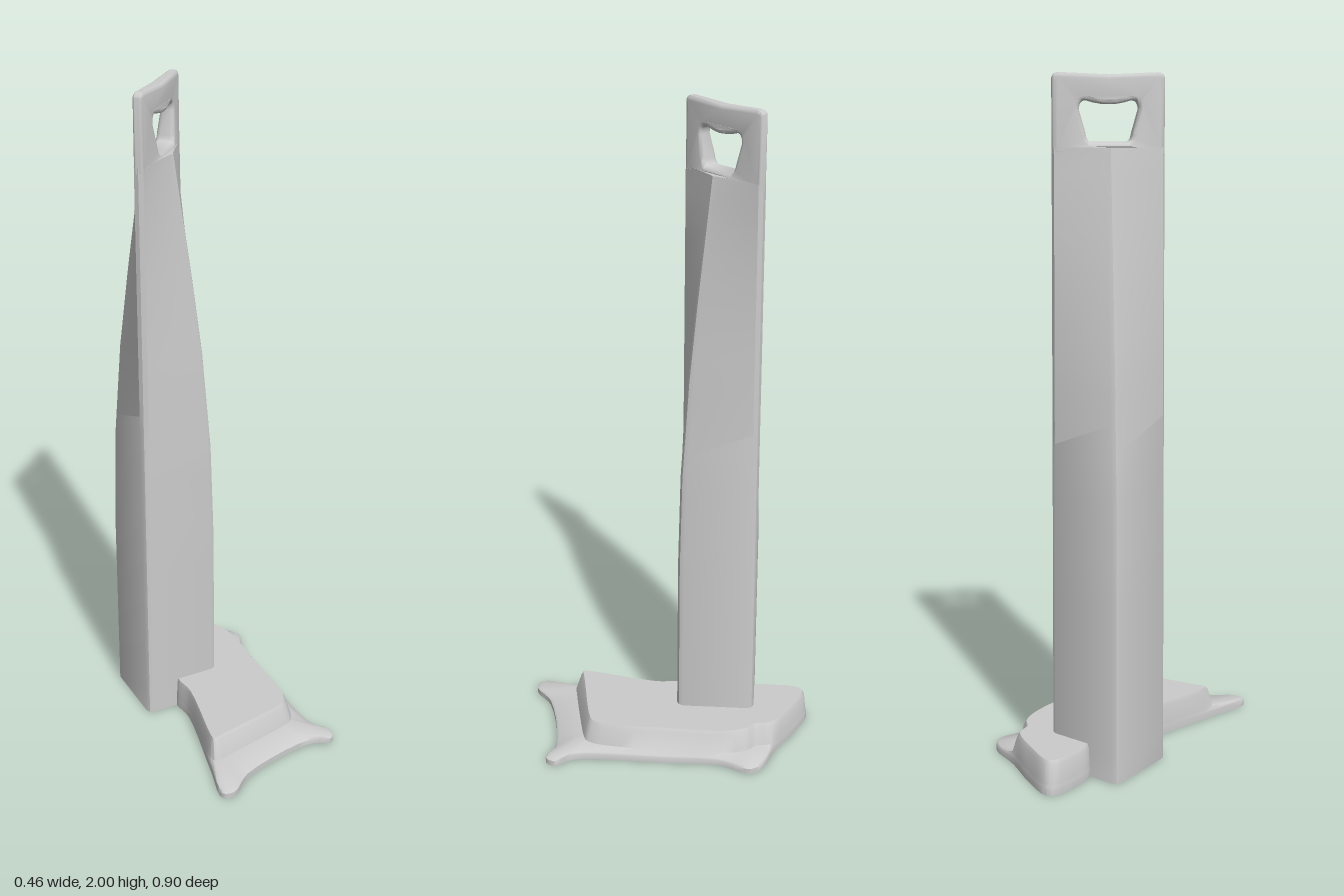
import * as THREE from 'three';
import { toCreasedNormals } from 'three/addons/utils/BufferGeometryUtils.js';

const material = new THREE.MeshStandardMaterial({ color: 0xcccccc, side: THREE.DoubleSide });

// Skin closed rings of Vector3 from bottom to top, capping the last one
function loft(rings, crease) {
  const n = rings[0].length, index = [];
  for (let r = 0; r < rings.length - 1; r++) {
    for (let i = 0; i < n; i++) {
      const j = (i + 1) % n, a = r * n + i, b = r * n + j;
      index.push(a, a + n, b, b, a + n, b + n);
    }
  }
  const top = rings[rings.length - 1].map(p => new THREE.Vector2(p.x, -p.z));
  const base = (rings.length - 1) * n;
  for (const [a, b, c] of THREE.ShapeUtils.triangulateShape(top, [])) {
    const up = THREE.ShapeUtils.area([top[a], top[b], top[c]]) > 0;
    index.push(base + a, base + (up ? b : c), base + (up ? c : b));
  }
  const g = new THREE.BufferGeometry().setFromPoints(rings.flat());
  g.setIndex(index);
  return toCreasedNormals(g, crease);
}

function add(parent, name, geometry) {
  const mesh = new THREE.Mesh(geometry, material);
  mesh.name = name;
  parent.add(mesh);
}

// Half thickness of the column across its ridge, by height
const taper = [[0, 0.16], [0.6, 0.158], [0.9, 0.149], [1.2, 0.124], [1.45, 0.092], [1.65, 0.063], [1.8, 0.042], [2, 0.018]];
function halfThickness(y) {
  let i = 1;
  while (i < taper.length - 1 && y > taper[i][0]) i++;
  const [y0, b0] = taper[i - 1], [y1, b1] = taper[i];
  return THREE.MathUtils.lerp(b0, b1, (y - y0) / (y1 - y0));
}
const halfWidth = y => 0.16 - 0.005 * y;
const EDGE = 0.014;

// Column: square at the foot, narrowing to a blade along its diagonal
function columnGeometry() {
  const rings = [];
  for (let k = 0; k <= 24; k++) {
    const y = 1.8 * k / 24, a = halfWidth(y), b = halfThickness(y), c = EDGE, f = 0.014;
    rings.push([[a, -c], [a + 0.005, 0], [a, c], [f, b], [0, b + 0.005], [-f, b], [-a, c], [-a - 0.005, 0],
      [-a, -c], [-f, -b], [0, -b - 0.005], [f, -b]].map(([x, z]) => new THREE.Vector3(x, y, z)));
  }
  return loft(rings, 0.5);
}

// Handle: bevelled loop whose thickness follows the column's taper
function handleGeometry() {
  const a = 0.155, shape = new THREE.Shape();
  shape.moveTo(-a, 1.78);
  shape.lineTo(0, 1.78);
  shape.lineTo(a, 1.78);
  shape.lineTo(a, 1.98);
  shape.quadraticCurveTo(a, 2, a - 0.02, 2);
  shape.lineTo(0, 1.994);
  shape.lineTo(-a + 0.02, 2);
  shape.quadraticCurveTo(-a, 2, -a, 1.98);
  shape.closePath();
  const hole = new THREE.Path();
  hole.moveTo(-0.05, 1.815);
  hole.quadraticCurveTo(-0.062, 1.815, -0.065, 1.84);
  hole.lineTo(-0.082, 1.9);
  hole.quadraticCurveTo(-0.082, 1.928, -0.06, 1.925);
  hole.quadraticCurveTo(0, 1.905, 0.06, 1.925);
  hole.quadraticCurveTo(0.082, 1.928, 0.082, 1.9);
  hole.lineTo(0.065, 1.84);
  hole.quadraticCurveTo(0.062, 1.815, 0.05, 1.815);
  hole.closePath();
  shape.holes.push(hole);
  const g = new THREE.ExtrudeGeometry(shape, {
    depth: 0.5, bevelThickness: 0.25, bevelSize: 0.012, bevelOffset: -0.012, bevelSegments: 3, curveSegments: 6,
  });
  const p = g.attributes.position;
  for (let i = 0; i < p.count; i++) {
    const y = p.getY(i), blend = Math.max(0, 1 - Math.abs(p.getX(i)) / a);
    const t = EDGE + (halfThickness(y) - EDGE) * blend;
    p.setZ(i, (p.getZ(i) - 0.25) * 2 * t);
  }
  g.deleteAttribute('normal');
  return toCreasedNormals(g, 0.7);
}

// Foot outline: rim x, z and the matching edge of the raised plateau x, z
const outline = [
  [-0.137, -0.40, -0.125, -0.40], [-0.125, -0.445, -0.113, -0.43], [-0.10, -0.455, -0.095, -0.438],
  [0, -0.412, 0, -0.395], [0.10, -0.355, 0.085, -0.34], [0.20, -0.313, 0.098, -0.29],
  [0.225, -0.275, 0.125, -0.262], [0.19, -0.18, 0.145, -0.2], [0.188, 0, 0.143, 0],
  [0.187, 0.24, 0.137, 0.18], [0.198, 0.285, 0.125, 0.21], [0.23, 0.33, 0.11, 0.228],
  [0.213, 0.36, 0.09, 0.235], [0.15, 0.337, 0.06, 0.243], [-0.10, 0.39, -0.12, 0.278],
  [-0.175, 0.445, -0.152, 0.285], [-0.21, 0.435, -0.162, 0.283], [-0.185, 0.31, -0.163, 0.27],
  [-0.125, 0.04, -0.118, 0.04], [-0.125, -0.05, -0.118, -0.05], [-0.015, -0.065, -0.01, -0.065],
  [-0.015, -0.255, -0.01, -0.255], [-0.125, -0.27, -0.115, -0.27], [-0.14, -0.36, -0.126, -0.36],
];

// Foot: hollow plate with a flared rim and a raised middle
function footGeometry() {
  const curve = k => new THREE.CatmullRomCurve3(
    outline.map(p => new THREE.Vector3(p[k], 0, p[k + 1])), true).getPoints(outline.length * 5).slice(0, -1);
  const rim = curve(0), edge = curve(2);
  const rings = [[], [], [], [], [], []];
  rim.forEach((o, i) => {
    const e = edge[i], out = o.clone().sub(e), gap = out.length();
    out.normalize();
    const at = (d, y) => e.clone().addScaledVector(out, d).setY(y);
    rings[0].push(at(gap, 0));
    rings[1].push(at(gap, 0.018));
    rings[2].push(at(gap * 0.93, 0.024));
    rings[3].push(at(Math.min(0.026, gap * 0.8), 0.034));
    rings[4].push(at(Math.min(0.008, gap * 0.5), 0.088));
    rings[5].push(at(0, 0.1));
  });
  return loft(rings, 0.8);
}

export function createModel() {
  const model = new THREE.Group();
  model.name = 'groundStake';
  add(model, 'foot', footGeometry());
  // The blade runs along the diagonal of the column
  const post = new THREE.Group();
  post.name = 'post';
  post.position.set(-0.107, 0, -0.16);
  post.rotation.y = Math.PI / 4;
  add(post, 'column', columnGeometry());
  add(post, 'handle', handleGeometry());
  model.add(post);
  return model;
}
